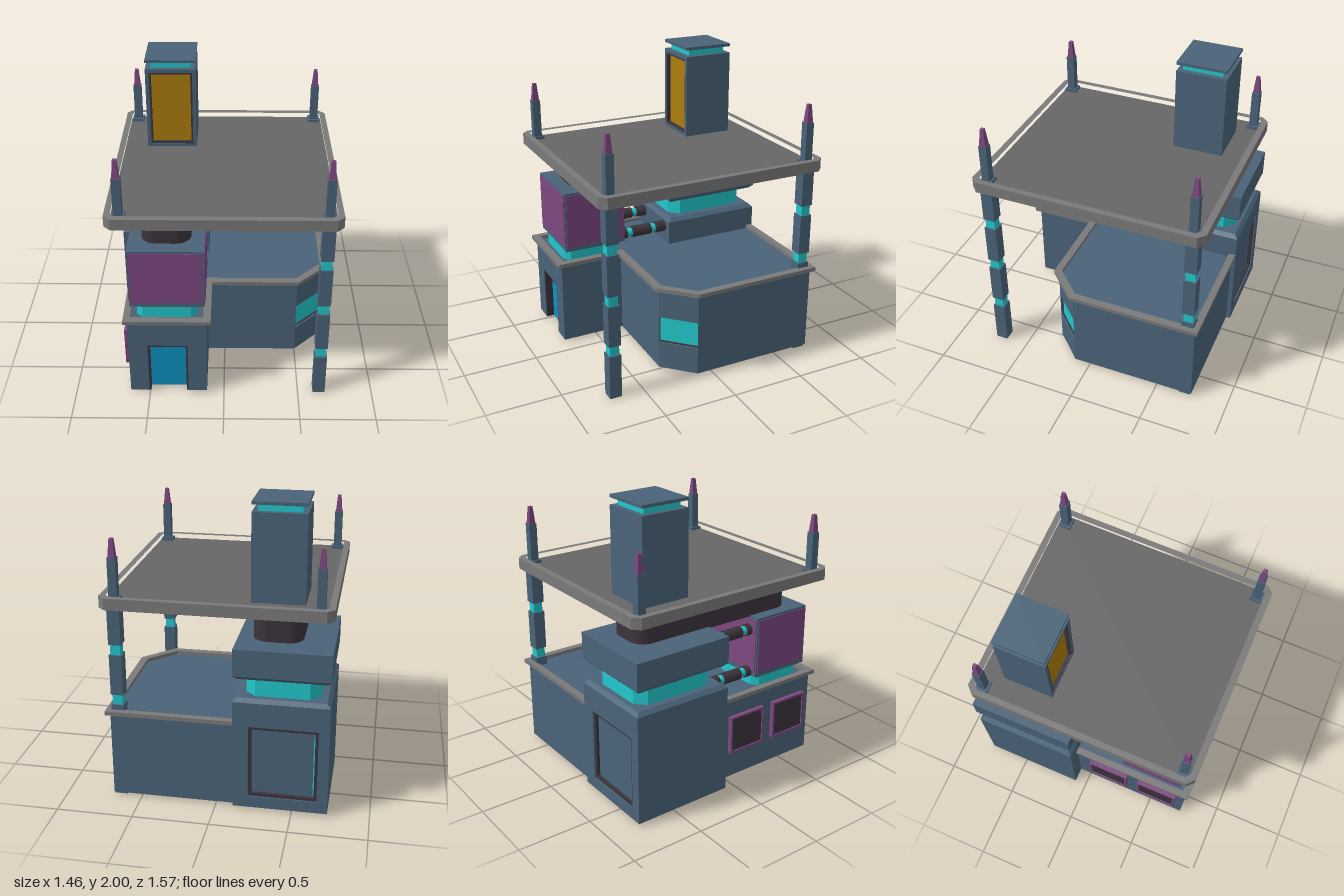
import * as THREE from 'three';
import { ConvexGeometry } from 'three/addons/geometries/ConvexGeometry.js';

const mat = (color, side = THREE.FrontSide) =>
  new THREE.MeshStandardMaterial({ color, side, flatShading: true });
const steel = mat(0x4a6378), teal = mat(0x22c8cc), dark = mat(0x3c343c), purple = mat(0x7d4880);
const grey = mat(0x7a7a7a), deckGrey = mat(0x666666), gold = mat(0xad7c0e);
const blue = mat(0x0d8fc0, THREE.DoubleSide);
const darkSmooth = new THREE.MeshStandardMaterial({ color: 0x3c343c });
const tealSmooth = new THREE.MeshStandardMaterial({ color: 0x22c8cc });

export function createModel() {
  const model = new THREE.Group();

  const add = (name, geometry, material, parent = model) => {
    const mesh = new THREE.Mesh(geometry, material);
    mesh.name = name;
    parent.add(mesh);
    return mesh;
  };
  // box given by its limits on each axis
  const box = (name, x0, x1, y0, y1, z0, z1, material, parent) => {
    const mesh = add(name, new THREE.BoxGeometry(x1 - x0, y1 - y0, z1 - z0), material, parent);
    mesh.position.set((x0 + x1) / 2, (y0 + y1) / 2, (z0 + z1) / 2);
    return mesh;
  };
  const toPath = (points, Type = THREE.Shape) => new Type(points.map(([x, y]) => new THREE.Vector2(x, y)));
  const rect = (x0, x1, y0, y1) => [[x0, y0], [x1, y0], [x1, y1], [x0, y1]];
  const extrude = (shape, depth, curveSegments = 8) =>
    new THREE.ExtrudeGeometry(shape, { depth, bevelEnabled: false, curveSegments });
  // upright prism over an x/z outline, with an optional opening
  const prism = (name, outline, y0, y1, material, opening) => {
    const flip = (pts) => pts.map(([x, z]) => [x, -z]);
    const shape = toPath(flip(outline));
    if (opening) shape.holes.push(toPath(flip(opening), THREE.Path));
    const mesh = add(name, extrude(shape, y1 - y0).rotateX(-Math.PI / 2), material);
    mesh.position.y = y0;
    return mesh;
  };
  // rectangle outline with cut corners
  const cutRect = (x0, x1, z0, z1, c) => [
    [x0 + c, z0], [x1 - c, z0], [x1, z0 + c], [x1, z1 - c],
    [x1 - c, z1], [x0 + c, z1], [x0, z1 - c], [x0, z0 + c]];
  // block whose side walls step through [height, inset] levels
  const taper = (name, x0, x1, z0, z1, levels, material) => {
    const pts = [];
    for (const [y, i] of levels)
      for (const [x, z] of rect(x0 + i, x1 - i, z0 + i, z1 - i)) pts.push(new THREE.Vector3(x, y, z));
    return add(name, new ConvexGeometry(pts), material);
  };
  // upright wall in the x/y plane with a rectangular opening
  const wall = (name, x0, x1, y0, y1, hole, z0, z1, material, parent) => {
    const shape = toPath(rect(x0, x1, y0, y1));
    shape.holes.push(toPath(rect(...hole), THREE.Path));
    const mesh = add(name, extrude(shape, z1 - z0), material, parent);
    mesh.position.z = z0;
    return mesh;
  };

  // main body, with a window band set into the cut corner
  const body = [[-0.63, 0.3], [0.5, 0.3], [0.69, 0.11], [0.69, -0.75], [-0.63, -0.75]];
  const recessed = [[-0.63, 0.3], [0.5, 0.3], [0.48, 0.28], [0.67, 0.09], [0.69, 0.11], [0.69, -0.75], [-0.63, -0.75]];
  prism('bodyLower', body, 0.02, 0.21, steel);
  prism('bodyMiddle', recessed, 0.21, 0.4, steel);
  prism('bodyUpper', body, 0.4, 0.6, steel);
  const cornerWindow = add('cornerWindow', new THREE.BoxGeometry(0.262, 0.186, 0.01), teal);
  cornerWindow.position.set(0.577, 0.305, 0.187);
  cornerWindow.rotation.y = Math.PI / 4;
  for (const y of [0.214, 0.396]) {
    const trim = add('cornerWindowTrim', new THREE.BoxGeometry(0.262, 0.008, 0.018), dark);
    trim.position.set(0.58, y, 0.19);
    trim.rotation.y = Math.PI / 4;
  }

  // entrance wing: hollow, open underneath
  for (const x of [-0.63, -0.185]) box('entranceSideWall', x, x + 0.07, 0.02, 0.6, 0.3, 0.675, steel);
  box('entranceCeiling', -0.56, -0.185, 0.57, 0.6, 0.3, 0.675, steel);
  const doorWall = toPath([[-0.63, 0.02], [-0.505, 0.02], [-0.505, 0.405], [-0.24, 0.405],
    [-0.24, 0.02], [-0.115, 0.02], [-0.115, 0.6], [-0.63, 0.6]]);
  add('entranceFrontWall', extrude(doorWall, 0.07), steel).position.z = 0.675;
  for (const x of [-0.505, -0.252]) box('doorJamb', x, x + 0.012, 0.02, 0.405, 0.68, 0.742, dark);
  box('doorLintel', -0.493, -0.252, 0.393, 0.405, 0.68, 0.742, dark);
  box('door', -0.493, -0.252, 0.02, 0.393, 0.68, 0.69, blue);

  // ledge around the body roof
  prism('ledge',
    [[-0.655, 0.775], [-0.085, 0.775], [-0.085, 0.33], [0.51, 0.33], [0.72, 0.12], [0.72, -0.775], [-0.655, -0.775]],
    0.598, 0.625, grey,
    [[-0.61, 0.725], [-0.135, 0.725], [-0.135, 0.28], [0.49, 0.28], [0.67, 0.1], [0.67, -0.73], [-0.61, -0.73]]);

  // framed panels on the side wall
  for (const z of [0.165, 0.54]) {
    const panel = new THREE.Group();
    panel.name = 'sidePanel';
    wall('sidePanelFrame', -0.145, 0.145, -0.135, 0.135, [-0.13, 0.13, -0.12, 0.12], 0, 0.03, purple, panel);
    box('sidePanelInset', -0.13, 0.13, -0.12, 0.12, 0, 0.022, dark, panel);
    panel.rotation.y = -Math.PI / 2;
    panel.position.set(-0.63, 0.345, z);
    model.add(panel);
  }

  // rear block with a recessed window in its back
  box('rearBlock', -0.73, -0.115, 0.02, 0.765, -0.73, -0.08, steel);
  wall('rearWindowWall', -0.73, -0.115, 0.02, 0.765, [-0.66, -0.215, 0.1, 0.6], -0.78, -0.73, steel);
  wall('rearWindowFrame', -0.66, -0.215, 0.1, 0.6, [-0.64, -0.235, 0.12, 0.58], -0.77, -0.73, dark);
  box('rearWindow', -0.64, -0.235, 0.12, 0.58, -0.742, -0.73, teal);
  taper('rearBlockTop', -0.73, -0.115, -0.78, -0.08, [[0.765, 0], [0.79, 0.025]], steel);
  prism('rearGlowBand', cutRect(-0.66, -0.185, -0.72, -0.14, 0.065), 0.785, 0.925, teal);
  taper('rearCap', -0.73, -0.115, -0.78, -0.08, [[0.915, 0.025], [0.94, 0], [1.12, 0]], steel);

  // front tank with coloured panels on a glowing foot
  prism('tankFoot', cutRect(-0.57, -0.175, 0.295, 0.69, 0.04), 0.6, 0.7, teal);
  box('tank', -0.61, -0.125, 0.69, 1.115, 0.265, 0.7, steel);
  box('tankSidePanels', -0.616, -0.119, 0.722, 1.1, 0.275, 0.69, purple);
  box('tankFrontBackPanels', -0.6, -0.137, 0.722, 1.1, 0.259, 0.706, purple);

  // ringed pipes from tank to rear block: [start, end, radius, material]
  const pipeParts = [[0.27, 0.22, 0.04, darkSmooth], [0.22, 0.18, 0.031, tealSmooth], [0.18, 0.033, 0.04, darkSmooth],
    [0.033, -0.003, 0.031, tealSmooth], [-0.003, -0.09, 0.04, darkSmooth]];
  for (const x of [-0.53, -0.2]) for (const y of [0.715, 1.02]) {
    const pipe = new THREE.Group();
    pipe.name = 'pipe';
    for (const [a, b, r, m] of pipeParts) {
      const part = add('pipeSection', new THREE.CylinderGeometry(r, r, a - b, 16).rotateX(Math.PI / 2), m, pipe);
      part.position.set(x, y, (a + b) / 2);
    }
    model.add(pipe);
  }

  // rounded duct carrying the roof
  const duct = new THREE.Shape();
  const [dx0, dx1, dy0, dy1, r] = [-0.53, -0.21, -0.605, 0.625, 0.1];
  duct.absarc(dx1 - r, dy1 - r, r, 0, Math.PI / 2);
  duct.absarc(dx0 + r, dy1 - r, r, Math.PI / 2, Math.PI);
  duct.absarc(dx0 + r, dy0 + r, r, Math.PI, Math.PI * 1.5);
  duct.absarc(dx1 - r, dy0 + r, r, Math.PI * 1.5, Math.PI * 2);
  add('duct', extrude(duct, 0.225, 10).rotateX(-Math.PI / 2), dark).position.y = 1.11;

  // roof deck with raised rim
  prism('roofRim', cutRect(-0.73, 0.73, -0.785, 0.785, 0.045), 1.325, 1.4, grey,
    cutRect(-0.69, 0.69, -0.742, 0.742, 0.025));
  prism('roofDeck', cutRect(-0.695, 0.695, -0.748, 0.748, 0.025), 1.327, 1.365, deckGrey);

  // corner masts; those on the left side continue down as banded posts
  for (const x of [-0.643, 0.643]) for (const z of [-0.697, 0.697]) {
    const post = new THREE.Group();
    post.name = 'post';
    const section = (name, half, y0, y1, m) => box(name, -half, half, y0, y1, -half, half, m, post);
    section('mastCollar', 0.041, 1.35, 1.385, steel);
    section('mast', 0.027, 1.36, 1.64, steel);
    for (const [y, r0, r1, h] of [[1.64, 0.022, 0.018, 0.05], [1.69, 0.018, 0.012, 0.07]]) {
      const spire = add('spire', new THREE.CylinderGeometry(r1 * Math.SQRT2, r0 * Math.SQRT2, h, 4), purple, post);
      spire.rotation.y = Math.PI / 4;
      spire.position.y = y + h / 2;
    }
    if (x > 0) {
      const cuts = [0.005, 0.31, 0.38, 0.66, 0.73, 1.005, 1.075, 1.33];
      for (let i = 0; i < 7; i++)
        section(i % 2 ? 'postBand' : 'postSection', i % 2 ? 0.032 : 0.041, cuts[i], cuts[i + 1], i % 2 ? teal : steel);
    }
    post.position.set(x, 0, z);
    model.add(post);
  }

  // roof tower with recessed front panel
  box('tower', -0.54, -0.2, 1.36, 1.935, -0.6, -0.3, steel);
  wall('towerFrontWall', -0.54, -0.2, 1.36, 1.935, [-0.515, -0.225, 1.385, 1.91], -0.3, -0.26, steel);
  wall('towerPanelFrame', -0.515, -0.225, 1.385, 1.91, [-0.503, -0.237, 1.397, 1.898], -0.3, -0.264, dark);
  box('towerPanel', -0.503, -0.237, 1.397, 1.898, -0.3, -0.288, gold);
  box('towerGlowBand', -0.505, -0.235, 1.935, 1.98, -0.565, -0.295, teal);
  box('towerCap', -0.54, -0.2, 1.98, 2.0, -0.6, -0.26, steel);

  return model;
}
